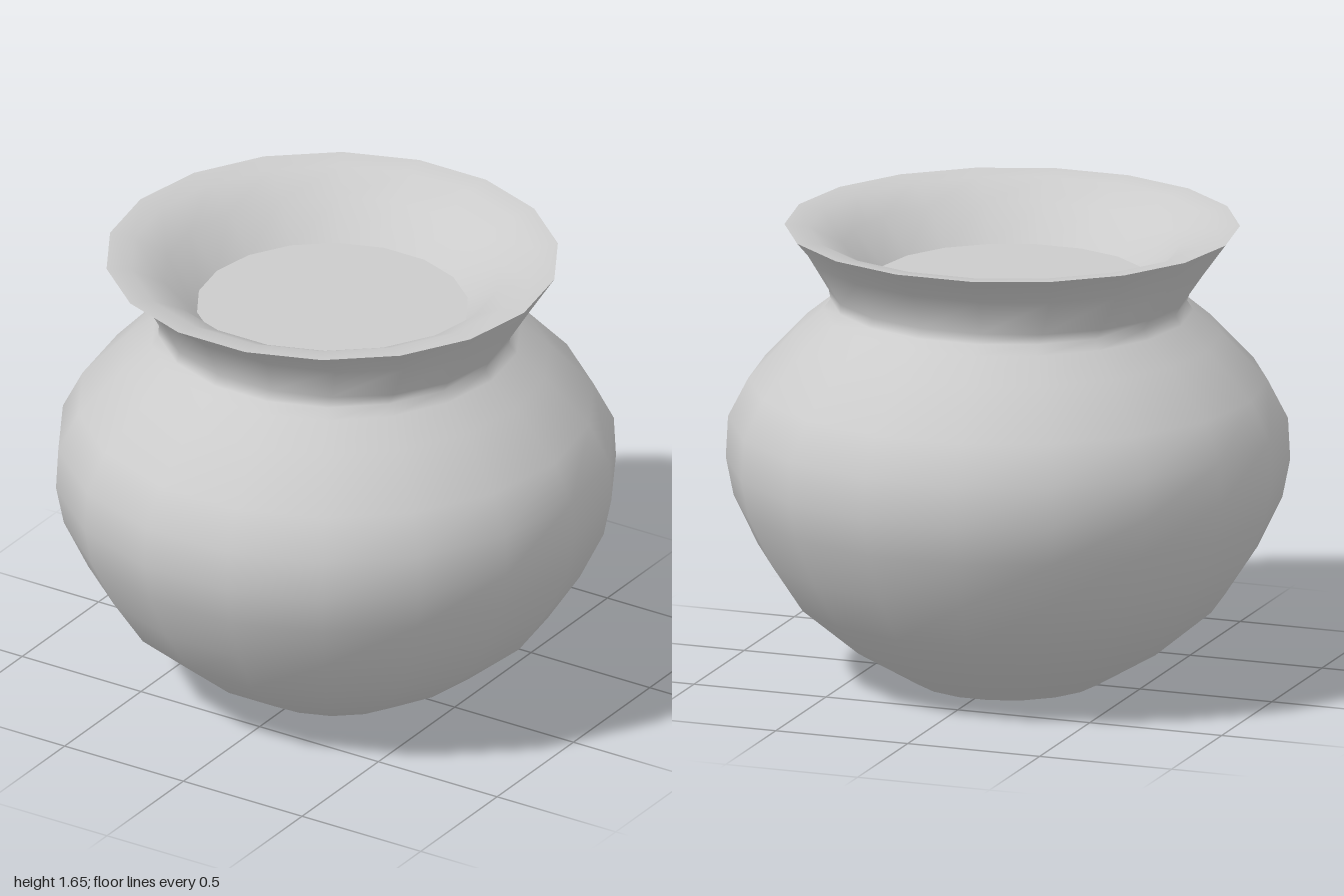
import * as THREE from 'three';

const SIDES = 18;
const material = new THREE.MeshStandardMaterial({ color: 0xcccccc });

// Rings are [x radius, z radius, height, x offset]
const bodyRings = [
  [0.34, 0.34, 0, 0],
  [0.56, 0.56, 0.13, 0],
  [0.77, 0.77, 0.305, 0],
  [0.885, 0.885, 0.48, 0],
  [0.972, 0.972, 0.66, 0],
  [1, 1, 0.8, 0],
  [0.992, 0.992, 0.95, 0],
  [0.92, 0.92, 1.09, 0],
  [0.76, 0.76, 1.26, 0],
  [0.655, 0.665, 1.345, 0],
  [0.632, 0.63, 1.38, -0.003],
  [0.645, 0.598, 1.41, -0.005],
  [0.732, 0.648, 1.54, -0.008],
  [0.808, 0.802, 1.655, -0.016],
];
const mouthRings = [
  [0.808, 0.802, 1.655, -0.016],
  [0.72, 0.715, 1.645, -0.016],
  [0.6, 0.595, 1.585, -0.016],
  [0.487, 0.477, 1.46, -0.015],
];

// Smooth skin through a stack of rings
function loft(rings) {
  const pos = [], index = [];
  rings.forEach(([rx, rz, y, ox], i) => {
    for (let j = 0; j < SIDES; j++) {
      const a = (j / SIDES) * Math.PI * 2;
      pos.push(ox + rx * Math.cos(a), y, rz * Math.sin(a));
      if (i === rings.length - 1) continue;
      const p = i * SIDES + j, q = i * SIDES + ((j + 1) % SIDES);
      index.push(p, p + SIDES, q, q, p + SIDES, q + SIDES);
    }
  });
  const geo = new THREE.BufferGeometry();
  geo.setAttribute('position', new THREE.Float32BufferAttribute(pos, 3));
  geo.setIndex(index);
  geo.computeVertexNormals();
  return geo;
}

// Flat disc closing a ring, facing up or down
function cap([rx, rz, y, ox], up) {
  const geo = new THREE.CircleGeometry(1, SIDES);
  geo.rotateX(up ? -Math.PI / 2 : Math.PI / 2);
  geo.scale(rx, 1, rz);
  geo.translate(ox, y, 0);
  geo.computeVertexNormals();
  return geo;
}

export function createModel() {
  const pot = new THREE.Group();
  pot.name = 'pot';
  const add = (name, geo) => {
    const mesh = new THREE.Mesh(geo, material);
    mesh.name = name;
    pot.add(mesh);
  };
  add('body', loft(bodyRings));
  add('mouth', loft(mouthRings));
  add('contents', cap(mouthRings[mouthRings.length - 1], true));
  add('base', cap(bodyRings[0], false));
  return pot;
}
